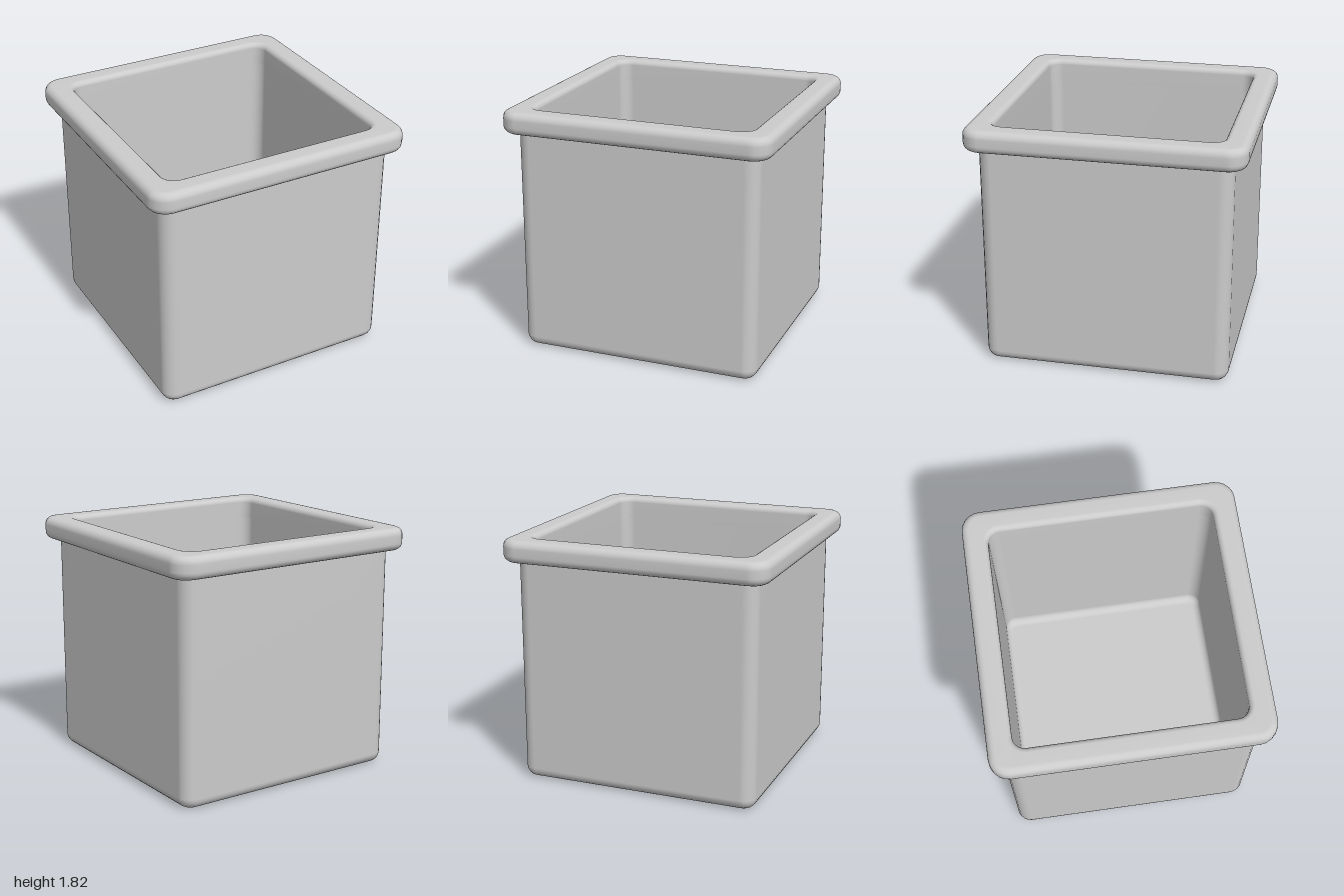
import * as THREE from 'three';

const CORNER_STEPS = 5;

// Horizontal rounded-square ring, counter-clockwise seen from above
function ring(half, radius, y) {
  const pts = [];
  const c = half - radius;
  const centres = [[c, c], [-c, c], [-c, -c], [c, -c]];
  centres.forEach(([cx, cz], q) => {
    for (let i = 0; i <= CORNER_STEPS; i++) {
      const a = (q + i / CORNER_STEPS) * Math.PI / 2;
      pts.push(cx + radius * Math.cos(a), y, -(cz + radius * Math.sin(a)));
    }
  });
  return pts;
}

// Skin a list of [half width, corner radius, y] rings
function loft(profile) {
  const n = 4 * (CORNER_STEPS + 1);
  const position = profile.flatMap(([h, r, y]) => ring(h, r, y));
  const index = [];
  for (let i = 0; i < profile.length - 1; i++) {
    for (let j = 0; j < n; j++) {
      const k = (j + 1) % n;
      const a = i * n + j, b = i * n + k, c = b + n, d = a + n;
      index.push(a, b, c, a, c, d);
    }
  }
  const geo = new THREE.BufferGeometry();
  geo.setAttribute('position', new THREE.Float32BufferAttribute(position, 3));
  geo.setIndex(index);
  geo.computeVertexNormals();
  return geo;
}

// Quarter-round in the profile; corner radius follows the offset from a base width
function bevel(cx, cy, r, from, to, base, baseRadius, steps = 5) {
  return Array.from({ length: steps + 1 }, (_, i) => {
    const a = THREE.MathUtils.degToRad(from + (to - from) * i / steps);
    const h = cx + r * Math.cos(a);
    return [h, baseRadius + h - base, cy + r * Math.sin(a)];
  });
}

export function createModel() {
  const group = new THREE.Group();
  const material = new THREE.MeshStandardMaterial({ color: 0xcccccc, side: THREE.DoubleSide });
  const add = (name, profile) => {
    const mesh = new THREE.Mesh(loft(profile), material);
    mesh.name = name;
    group.add(mesh);
  };

  // Outer walls and underside
  add('outerBody', [
    [0, 0, 0],
    ...bevel(0.825, 0.08, 0.08, -90, 0, 0.905, 0.1),
    [0.905, 0.1, 1.67],
  ]);

  // Rounded lip around the opening
  add('rim', [
    [0.88, 0.08, 1.655],
    ...bevel(0.945, 1.71, 0.055, -90, 0, 1, 0.14),
    ...bevel(0.945, 1.765, 0.055, 0, 90, 1, 0.14),
    ...bevel(0.86, 1.78, 0.04, 90, 180, 0.82, 0.09),
    [0.82, 0.09, 1.65],
  ]);

  // Inner walls and floor
  add('cavity', [
    [0.82, 0.09, 1.65],
    [0.82, 0.09, 0.15],
    ...bevel(0.76, 0.14, 0.06, 0, -90, 0.82, 0.09),
    [0, 0, 0.08],
  ]);

  return group;
}
